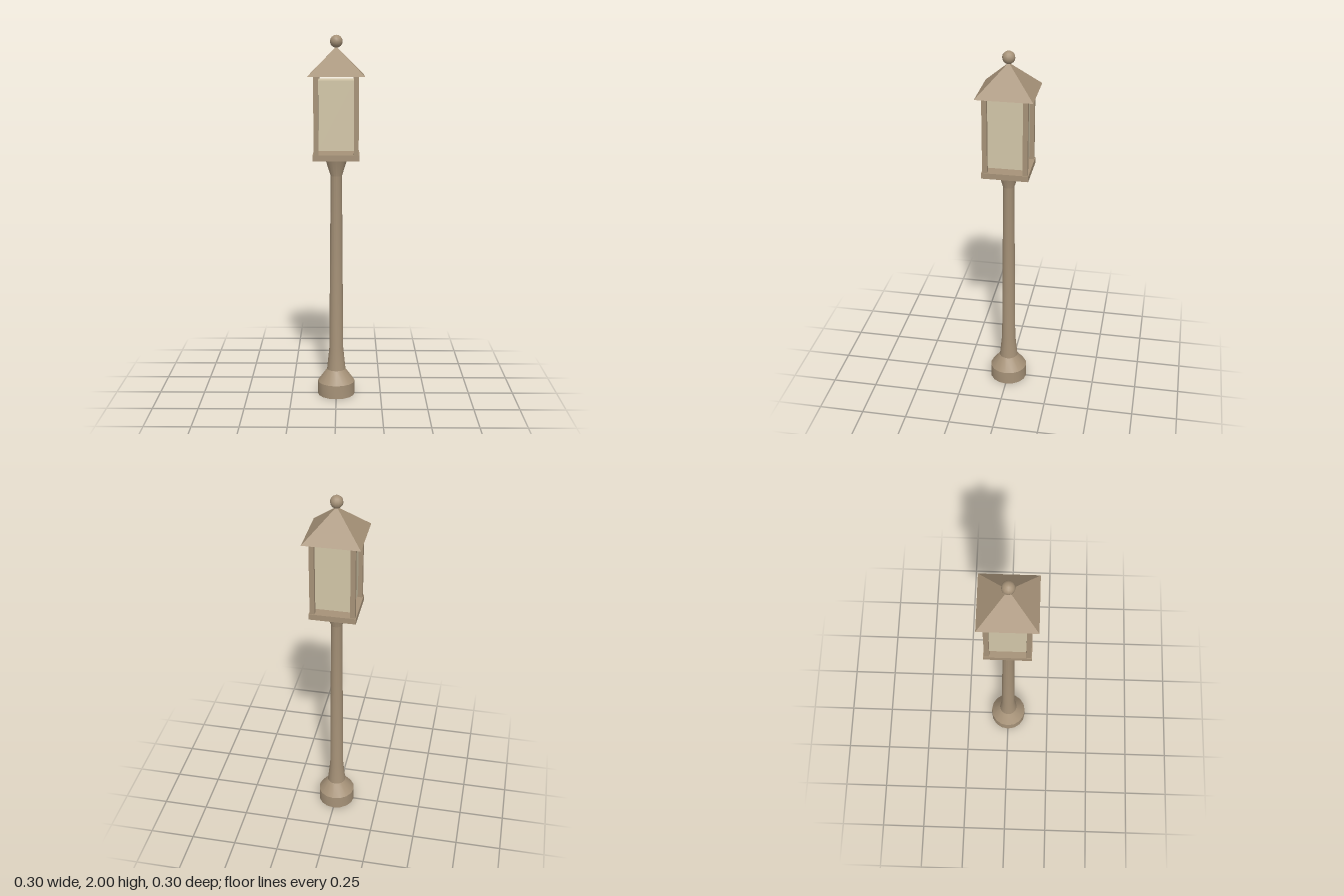
import * as THREE from 'three';
import { toCreasedNormals } from 'three/addons/utils/BufferGeometryUtils.js';

export function createModel() {
  const model = new THREE.Group();
  model.name = 'lampPost';
  const metal = new THREE.MeshStandardMaterial({ name: 'tan metal', color: 0xa69278 });
  const glass = new THREE.MeshStandardMaterial({ name: 'cream glass', color: 0xd2c6a8 });

  const add = (name, geometry, material, x, y, z) => {
    const mesh = new THREE.Mesh(geometry, material);
    mesh.name = name;
    mesh.position.set(x, y, z);
    model.add(mesh);
    return mesh;
  };

  // Turned pole: foot, tapered shaft and flared neck
  const profile = [
    [0, 0], [0.104, 0], [0.104, 0.075], [0.052, 0.145], [0.039, 0.27],
    [0.031, 1.245], [0.061, 1.34], [0, 1.34],
  ].map(([r, y]) => new THREE.Vector2(r, y));
  add('pole', toCreasedNormals(new THREE.LatheGeometry(profile, 16), 0.45), metal, 0, 0, 0);

  // Lantern tray
  add('tray', new THREE.BoxGeometry(0.25, 0.032, 0.25), metal, 0, 1.355, 0);

  // Corner posts
  for (const x of [-1, 1]) {
    for (const z of [-1, 1]) {
      add('cornerPost', new THREE.BoxGeometry(0.026, 0.418, 0.026), metal, x * 0.107, 1.578, z * 0.107);
    }
  }

  // Glass box, floating clear of the tray and the roof
  add('glassBox', new THREE.BoxGeometry(0.194, 0.373, 0.194), glass, 0, 1.578, 0);

  // Pyramid roof, closed underneath
  const roof = new THREE.ConeGeometry(0.151 * Math.SQRT2, 0.154, 4);
  roof.rotateY(Math.PI / 4);
  add('roof', toCreasedNormals(roof, 0.3), metal, 0, 1.862, 0);

  // Ball finial
  add('finial', new THREE.SphereGeometry(0.034, 12, 8), metal, 0, 1.966, 0);

  return model;
}
